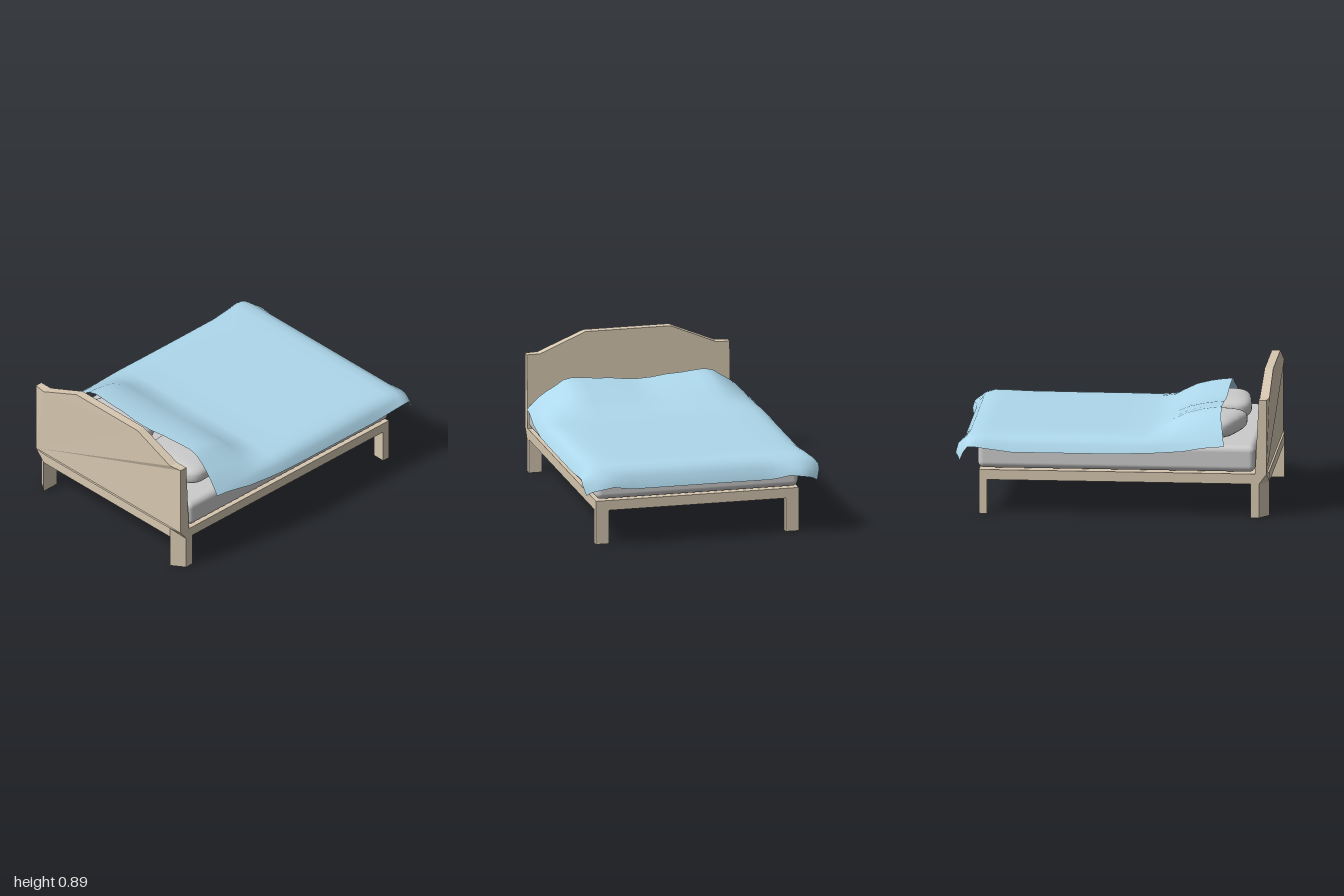
import * as THREE from 'three';
import { RoundedBoxGeometry } from 'three/addons/geometries/RoundedBoxGeometry.js';

const wood = new THREE.MeshStandardMaterial({ color: 0xd6c7b0 });
const grey = new THREE.MeshStandardMaterial({ color: 0xcccccc });
const cloth = new THREE.MeshStandardMaterial({ color: 0xaed8ec, side: THREE.DoubleSide });

function add(group, name, geometry, material) {
  const mesh = new THREE.Mesh(geometry, material);
  mesh.name = name;
  group.add(mesh);
  return mesh;
}

// Moves every vertex by a rule and refreshes the normals
function reshape(geometry, rule) {
  const p = geometry.attributes.position;
  const v = new THREE.Vector3();
  for (let i = 0; i < p.count; i++) {
    rule(v.fromBufferAttribute(p, i));
    p.setXYZ(i, v.x, v.y, v.z);
  }
  geometry.computeVertexNormals();
  return geometry;
}

const toShape = pts => new THREE.Shape(pts.map(([a, b]) => new THREE.Vector2(a, b)));

// Upright prism from a floor plan of [x, z] points
function prism(plan, y0, y1) {
  const g = new THREE.ExtrudeGeometry(toShape(plan.map(([x, z]) => [x, -z])), { depth: y1 - y0, bevelEnabled: false });
  return g.rotateX(-Math.PI / 2).translate(0, y0, 0);
}

// Piecewise linear lookup in a list of [key, value] pairs
function lookup(table, k) {
  if (k <= table[0][0]) return table[0][1];
  for (let i = 1; i < table.length; i++) {
    const [k0, v0] = table[i - 1], [k1, v1] = table[i];
    if (k <= k1) return THREE.MathUtils.mapLinear(k, k0, k1, v0, v1);
  }
  return table[table.length - 1][1];
}

function headboardGeometry() {
  const half = [[0.665, 0.285], [0.665, 0.765], [0.58, 0.765], [0.28, 0.89]];
  const outline = [...half, ...half.map(([a, b]) => [-a, b]).reverse()];
  const g = new THREE.ExtrudeGeometry(toShape(outline), { depth: 1, bevelEnabled: false });
  // Leaning front face, slightly eased outer back corners
  return reshape(g, v => {
    const back = Math.abs(v.x) > 0.6 ? -0.988 : -1;
    const front = THREE.MathUtils.mapLinear(v.y, 0.285, 0.89, -0.915, -0.945);
    v.set(v.z > 0.5 ? front : back, v.y, -v.x);
  });
}

function pillowGeometry(sx, sy, sz) {
  const puff = (c, p) => Math.sign(c) * Math.pow(Math.abs(c), p);
  return reshape(new THREE.SphereGeometry(1, 32, 20), v =>
    v.set(puff(v.x, 0.55) * sx, puff(v.y, 0.7) * sy, puff(v.z, 0.55) * sz));
}

function duvetGeometry() {
  // Rows from head to foot: x, half width, top height, side hem height, pillow bulge
  const rows = [
    [-0.70, 0.72, 0.525, 0.47, 1], [-0.63, 0.727, 0.525, 0.465, 0.97], [-0.55, 0.735, 0.525, 0.455, 0.88],
    [-0.46, 0.745, 0.525, 0.44, 0.72], [-0.38, 0.75, 0.525, 0.435, 0.45], [-0.3, 0.755, 0.525, 0.43, 0.15],
    [-0.2, 0.762, 0.522, 0.427, 0], [0, 0.76, 0.525, 0.42, 0], [0.3, 0.76, 0.525, 0.42, 0],
    [0.63, 0.76, 0.527, 0.42, 0], [0.79, 0.77, 0.53, 0.442, 0], [0.86, 0.777, 0.523, 0.453, 0],
    [0.91, 0.778, 0.505, 0.455, 0], [0.95, 0.775, 0.455, 0.42, 0], [0.968, 0.757, 0.385, 0.36, 0],
  ];
  const bulge = [[0, 0.11], [0.1, 0.115], [0.2, 0.13], [0.3, 0.132], [0.4, 0.145], [0.47, 0.145], [0.55, 0.095], [0.62, 0.055], [0.7, 0]];
  // Across: fraction of the half width, fraction of the drop to the hem
  const half = [[0.12, 0], [0.25, 0], [0.38, 0], [0.5, 0], [0.6, 0], [0.68, 0], [0.76, 0.02], [0.83, 0.05],
    [0.89, 0.13], [0.935, 0.3], [0.968, 0.55], [1, 1]];
  const across = [...half.map(([f, d]) => [-f, d]).reverse(), [0, 0], ...half];
  const pos = [], index = [], n = across.length;
  rows.forEach(([x, w, top, hem, b], i) => {
    across.forEach(([f, d], j) => {
      const z = f * w, a = Math.abs(z);
      let px = x, y = THREE.MathUtils.lerp(top + b * lookup(bulge, a), hem, d);
      if (i === 0) px += lookup([[0.3, 0.02], [0.55, 0.012], [0.72, -0.02]], a);
      // Flared corners and wavy hem at the foot
      if (x > 0.93) px += lookup([[0.45, 0], [0.66, 0.03], [0.78, -0.015]], a);
      if (i === rows.length - 1) y += lookup([[0.47, 0], [0.58, 0.025], [0.7, 0.01], [0.76, 0]], a);
      pos.push(px, y, z);
      if (i && j) {
        const k = i * n + j;
        index.push(k, k - n, k - 1, k - 1, k - n, k - n - 1);
      }
    });
  });
  const g = new THREE.BufferGeometry();
  g.setAttribute('position', new THREE.Float32BufferAttribute(pos, 3));
  g.setIndex(index);
  g.computeVertexNormals();
  return g;
}

export function createModel() {
  const bed = new THREE.Group();
  bed.name = 'bed';

  // Base slab, its head corners chamfered toward the legs
  const slab = prism([[0.845, 0.665], [0.845, -0.665], [-0.94, -0.665], [-1, -0.58], [-1, 0.58], [-0.94, 0.665]], 0.22, 0.285);
  add(bed, 'bedBase', reshape(slab, v => {
    if (v.y > 0.25 && Math.abs(v.x + 0.94) < 0.01) v.x = -0.988;
  }), wood);
  add(bed, 'headboard', headboardGeometry(), wood);

  // Legs
  for (const s of [1, -1]) {
    const side = s > 0 ? 'Left' : 'Right';
    const foot = [[0.795, 0.58], [0.845, 0.58], [0.845, 0.665], [0.795, 0.665]];
    const head = [[-0.885, 0.665], [-0.885, 0.58], [-1, 0.58], [-0.94, 0.665]];
    const mirror = plan => plan.map(([x, z]) => [x, z * s]);
    add(bed, 'footLeg' + side, prism(mirror(foot), 0, 0.22), wood);
    add(bed, 'headLeg' + side, prism(mirror(head), 0, 0.22), wood);
  }

  // Mattress
  add(bed, 'mattress', new RoundedBoxGeometry(1.77, 0.17, 1.33, 4, 0.04), grey).position.set(-0.03, 0.378, 0);

  // Pillows, casually turned
  for (const [x, z, turn] of [[-0.63, -0.265, -0.27], [-0.645, 0.32, 0.1]]) {
    const pillow = add(bed, 'pillow', pillowGeometry(0.17, 0.07, 0.24), grey);
    pillow.position.set(x, 0.53, z);
    pillow.rotation.y = turn;
  }

  add(bed, 'duvet', duvetGeometry(), cloth);
  return bed;
}
